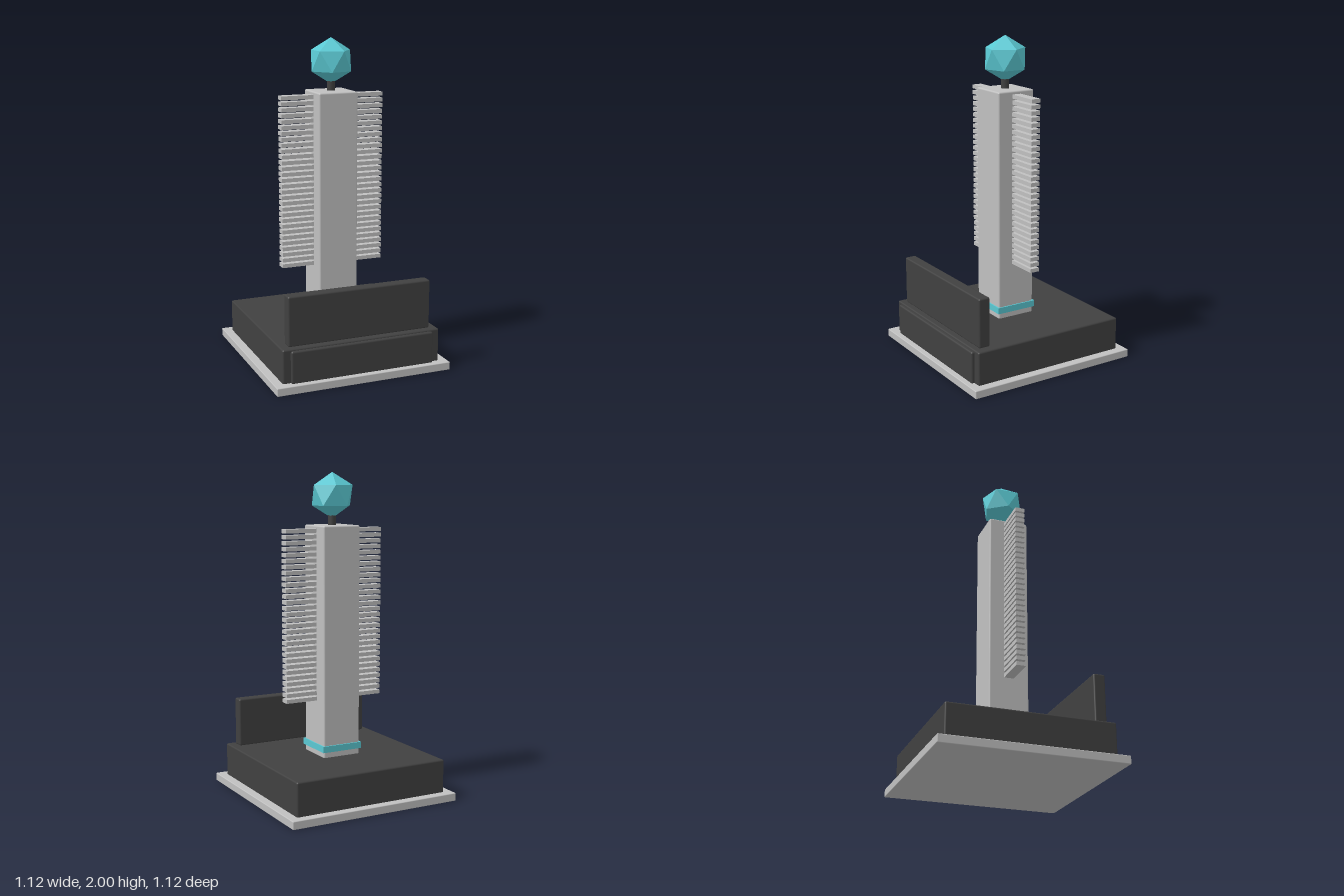
import * as THREE from 'three';
import { RoundedBoxGeometry } from 'three/addons/geometries/RoundedBoxGeometry.js';

const material = (name, color, flatShading = false) => {
  const m = new THREE.MeshStandardMaterial({ color, flatShading });
  m.name = name;
  return m;
};

export function createModel() {
  const model = new THREE.Group();
  model.name = 'tower';
  const lightGrey = material('lightGrey', 0xc0c0c0);
  const darkGrey = material('darkGrey', 0x404040);
  const teal = material('teal', 0x5ac8d2, true);

  const add = (name, geometry, mat, x, y, z, parent = model) => {
    const mesh = new THREE.Mesh(geometry, mat);
    mesh.name = name;
    mesh.position.set(x, y, z);
    parent.add(mesh);
    return mesh;
  };
  // Box with softened edges, standing on the height "bottom"
  const block = (name, mat, w, h, d, bottom, z = 0, r = 0.01) =>
    add(name, new RoundedBoxGeometry(w, h, d, 2, r), mat, 0, bottom + h / 2, z);

  // Stepped base
  block('groundPlate', lightGrey, 1.12, 0.05, 1.12, 0, 0, 0.005);
  block('base', darkGrey, 1.012, 0.245, 1.012, 0.01);
  block('baseFrontPanel', darkGrey, 0.914, 0.2, 0.06, 0.045, 0.495);
  block('frontWall', darkGrey, 0.914, 0.305, 0.073, 0.255, 0.4345);

  // Column and the band around its foot
  block('column', lightGrey, 0.25, 1.43, 0.25, 0.25);
  add('columnBand', new THREE.BoxGeometry(0.266, 0.04, 0.266), teal, 0, 0.31, 0);

  // Stacks of thin fins on both sides
  const finGeometry = new THREE.BoxGeometry(0.215, 0.024, 0.06);
  for (const side of [-1, 1]) {
    const stack = new THREE.Group();
    stack.name = side > 0 ? 'leftFins' : 'rightFins';
    model.add(stack);
    for (let i = 0; i < 30; i++) {
      add('fin', finGeometry, lightGrey, side * 0.2235, 0.613 + i * 0.0357, 0, stack);
    }
  }

  // Neck and crystal, the crystal standing on a vertex
  add('neck', new THREE.CylinderGeometry(0.025, 0.025, 0.1, 16), darkGrey, 0, 1.71, 0);
  const crystal = new THREE.IcosahedronGeometry(0.14, 0);
  crystal.rotateZ(-Math.atan(2 / (1 + Math.sqrt(5))));
  add('crystal', crystal, teal, 0, 1.86, 0);

  return model;
}
